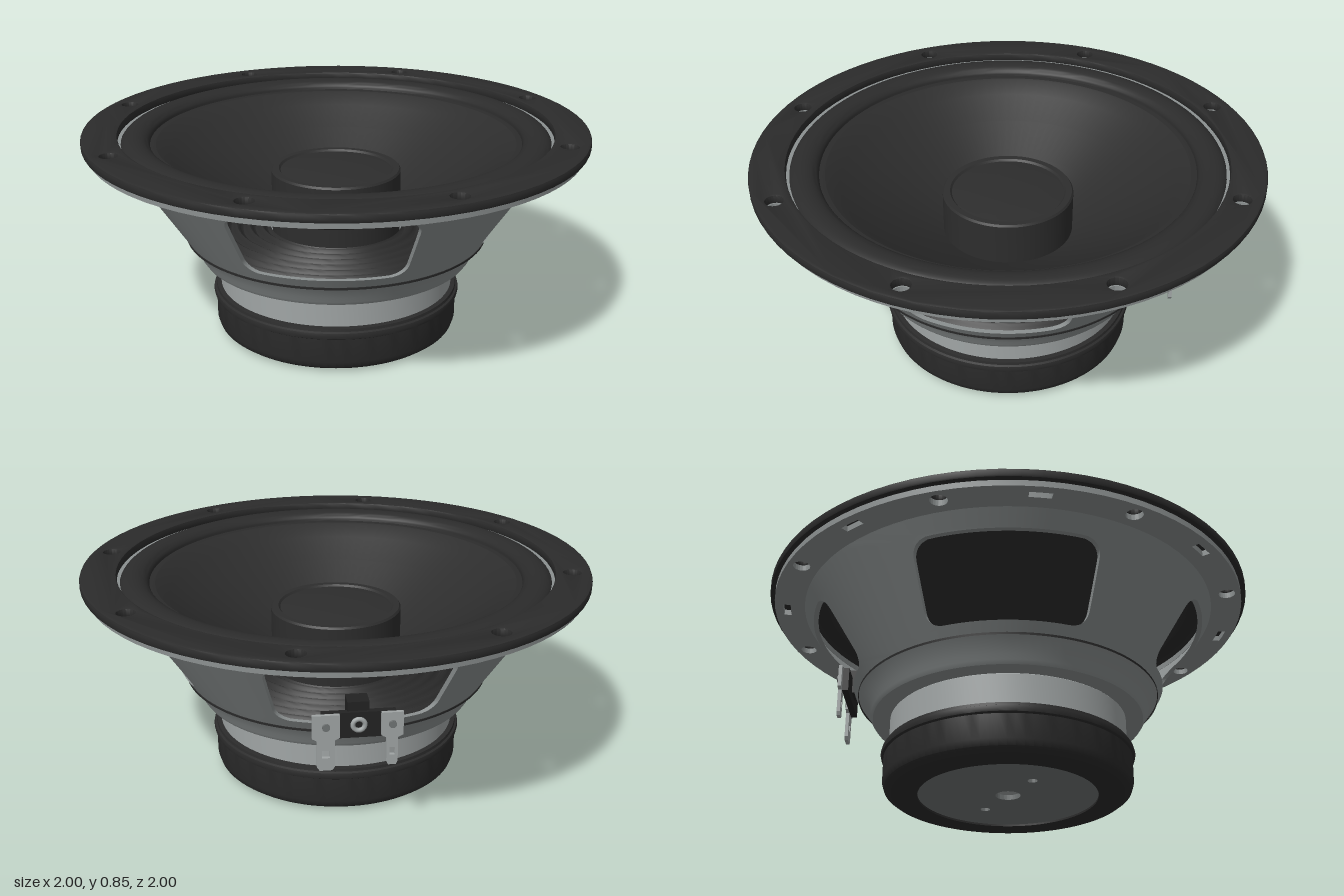
import * as THREE from 'three';
import { toCreasedNormals } from 'three/addons/utils/BufferGeometryUtils.js';

const DEG = Math.PI / 180;
const mat = (name, color, side = THREE.FrontSide) => {
  const m = new THREE.MeshStandardMaterial({ color, side });
  m.name = name;
  return m;
};

export function createModel() {
  const basketGrey = mat('basket grey', 0x8b9090, THREE.DoubleSide);
  const steel = mat('steel', 0xa0a5a5);
  const darkSteel = mat('dark steel', 0x707474);
  const rubber = mat('black rubber', 0x2b2b2b, THREE.DoubleSide);
  const paper = mat('black cone', 0x2d2d2d, THREE.DoubleSide);
  const plastic = mat('black plastic', 0x222222);

  const model = new THREE.Group();
  model.name = 'loudspeakerDriver';

  const add = (name, geo, material, parent = model) => {
    const mesh = new THREE.Mesh(geo, material);
    mesh.name = name;
    parent.add(mesh);
    return mesh;
  };
  // Profile points run outward along the bottom, up the outside, inward on top
  const lathe = (name, pts, material) =>
    add(name, toCreasedNormals(new THREE.LatheGeometry(
      pts.map(([x, y]) => new THREE.Vector2(x, y)), 96), 0.6), material);

  const circle = (r, x = 0, y = 0) => new THREE.Path().absarc(x, y, r, 0, Math.PI * 2, true);
  const disc = (r, holes) => {
    const s = new THREE.Shape().absarc(0, 0, r, 0, Math.PI * 2, false);
    s.holes.push(...holes);
    return s;
  };
  // Horizontal plate whose lower face is at height y
  const plate = (name, shape, y, depth, bevel, material) => {
    const geo = new THREE.ExtrudeGeometry(shape, {
      depth: depth - 2 * bevel, curveSegments: 40, bevelEnabled: bevel > 0,
      bevelSize: bevel, bevelThickness: bevel, bevelSegments: 2,
    });
    geo.rotateX(-Math.PI / 2).translate(0, y + bevel, 0);
    return add(name, toCreasedNormals(geo, 0.6), material);
  };
  const boltHoles = (r) => Array.from({ length: 8 }, (_, i) =>
    circle(r, 0.925 * Math.cos(i * 45 * DEG), 0.925 * Math.sin(i * 45 * DEG)));

  // Front gasket
  plate('gasket', disc(0.992, [circle(0.868), ...boltHoles(0.041)]), 0.814, 0.036, 0.008, rubber);

  // Basket flange with bolt holes and narrow slots between them
  const slots = Array.from({ length: 8 }, (_, i) => {
    const a = (22.5 + i * 45) * DEG, w = 2.6 * DEG;
    return new THREE.Path().absarc(0, 0, 0.945, a - w, a + w, false)
      .absarc(0, 0, 0.915, a + w, a - w, true).closePath();
  });
  plate('basketFlange', disc(0.98, [circle(0.835), ...boltHoles(0.033), ...slots]), 0.79, 0.024, 0, basketGrey);

  // Sloped basket wall: four sectors, each a frame round a rounded window
  add('basketWall', basketWall(), basketGrey);
  lathe('basketBase', [
    [0.28, 0.315], [0.55, 0.315], [0.56, 0.33], [0.567, 0.35], [0.612, 0.412],
    [0.59, 0.412], [0.545, 0.345], [0.28, 0.345],
  ], basketGrey);

  // Corrugated spider, its rim showing as a thin line on the basket
  const spider = [[0.614, 0.404], [0.615, 0.413], [0.58, 0.415]];
  for (let i = 0; i <= 48; i++) {
    spider.push([0.57 - i * 0.00625, 0.425 + 0.012 * Math.sin(i * Math.PI / 4)]);
  }
  lathe('spider', spider, rubber);

  // Moving parts
  lathe('voiceCoilFormer', [[0.262, 0.34], [0.262, 0.51]], paper);
  lathe('cone', [[0.25, 0.49], [0.4, 0.58], [0.55, 0.674], [0.66, 0.75], [0.715, 0.79], [0.735, 0.798]], paper);
  const roll = [[0.715, 0.798], [0.735, 0.8]];
  for (let i = 0; i <= 16; i++) {
    const a = Math.PI * (1 - i / 16);
    roll.push([0.795 + 0.058 * Math.cos(a), 0.8 + 0.037 * Math.sin(a)]);
  }
  roll.push([0.88, 0.812]);
  lathe('surround', roll, rubber);
  lathe('dustCap', [
    [0.262, 0.48], [0.262, 0.662], [0.256, 0.67], [0.232, 0.67], [0.225, 0.662],
    [0.215, 0.664], [0.12, 0.672], [0, 0.675],
  ], paper);

  // Magnet assembly
  lathe('magnetCan', [[0.47, 0.17], [0.48, 0.18], [0.48, 0.312], [0.475, 0.317], [0.2, 0.317]], steel);
  lathe('magnetBoot', [
    [0.36, 0.02], [0.36, 0], [0.45, 0], [0.474, 0.006], [0.492, 0.02], [0.5, 0.045], [0.5, 0.143],
    [0.508, 0.148], [0.511, 0.16], [0.508, 0.172], [0.5, 0.176], [0.498, 0.187], [0.475, 0.19],
  ], rubber);
  plate('backPlate', disc(0.362, [circle(0.05), circle(0.02, 0.19), circle(0.02, -0.19)]), 0.008, 0.02, 0, darkSteel);
  plate('polePiece', disc(0.3, []), 0.028, 0.1, 0, steel);

  // Terminal block outside one window
  const terminals = new THREE.Group();
  terminals.name = 'terminals';
  terminals.rotation.y = 150 * DEG;
  model.add(terminals);
  const box = (name, w, h, d, x, y, z, material) =>
    add(name, new THREE.BoxGeometry(w, h, d).translate(x, y, z), material, terminals);
  box('terminalBoard', 0.27, 0.1, 0.025, 0, 0.46, 0.655, plastic);
  box('terminalBracket', 0.08, 0.1, 0.07, 0, 0.495, 0.62, plastic);

  const tab = (x, head, tongue, bottom) => {
    const h = head / 2, t = tongue / 2;
    const s = new THREE.Shape([
      [-t, bottom + 0.015], [-t * 0.7, bottom], [t * 0.7, bottom], [t, bottom + 0.015],
      [t, 0.41], [h, 0.42], [h, 0.51], [-h, 0.51], [-h, 0.42], [-t, 0.41],
    ].map(([a, b]) => new THREE.Vector2(a, b)));
    const q = t * 0.45;
    s.holes.push(new THREE.Path([[-q, 0.34], [-q, 0.37], [q, 0.37], [q, 0.34]]
      .map(([a, b]) => new THREE.Vector2(a, b))));
    const geo = new THREE.ExtrudeGeometry(s, { depth: 0.014, bevelEnabled: false });
    add('terminalTab', geo.translate(x, 0, 0.668), steel, terminals);
    add('tabRivet', new THREE.CylinderGeometry(0.014, 0.014, 0.012, 16)
      .rotateX(Math.PI / 2).translate(x, 0.465, 0.685), darkSteel, terminals);
  };
  tab(-0.12, 0.1, 0.066, 0.29);
  tab(0.12, 0.08, 0.042, 0.3);
  add('eyelet', new THREE.TorusGeometry(0.022, 0.009, 10, 24).translate(0, 0.462, 0.67), steel, terminals);

  return model;
}

function basketWall() {
  const N = 24, STEPS = 8, THICK = 0.02;
  const A = 0.33, B = 0.163, R = 0.065; // window half sizes and corner radius
  const clamp = THREE.MathUtils.clamp;
  const pos = [], index = [];

  // Unit square perimeter, counter-clockwise
  const ring = [];
  for (let i = 0; i < N; i++) ring.push([-1 + 2 * i / N, -1]);
  for (let i = 0; i < N; i++) ring.push([1, -1 + 2 * i / N]);
  for (let i = 0; i < N; i++) ring.push([1 - 2 * i / N, 1]);
  for (let i = 0; i < N; i++) ring.push([-1, 1 - 2 * i / N]);

  // Outside from sector edge to window, then back along the inside
  const section = [];
  for (let j = 0; j <= STEPS; j++) section.push([j / STEPS, 0]);
  for (let j = STEPS; j >= 0; j--) section.push([j / STEPS, THICK]);

  for (let k = 0; k < 4; k++) {
    const base = pos.length / 3, centre = 60 + 90 * k;
    for (const [sx, sy] of ring) {
      // Round the window corners
      const qx = sx * A, qy = sy * B;
      const cx = clamp(qx, R - A, A - R), cy = clamp(qy, R - B, B - R);
      const len = Math.hypot(qx - cx, qy - cy);
      const wx = cx + R * (qx - cx) / len, wy = cy + R * (qy - cy) / len;
      const winV = 0.465 + wy / 0.455;
      const winAngle = wx / A * (27.5 - 2.5 * winV);
      for (const [t, inset] of section) {
        const v = THREE.MathUtils.lerp((sy + 1) / 2, winV, t);
        const a = (centre + THREE.MathUtils.lerp(sx * 45, winAngle, t)) * Math.PI / 180;
        const r = 0.61 + 0.25 * v - inset;
        pos.push(r * Math.sin(a), 0.41 + 0.385 * v, r * Math.cos(a));
      }
    }
    const M = section.length, P = ring.length;
    for (let i = 0; i < P; i++) {
      for (let j = 0; j < M - 1; j++) {
        const a = base + i * M + j, b = base + ((i + 1) % P) * M + j;
        index.push(a, b, a + 1, b, b + 1, a + 1);
      }
    }
  }
  const geo = new THREE.BufferGeometry();
  geo.setAttribute('position', new THREE.Float32BufferAttribute(pos, 3));
  geo.setIndex(index);
  return toCreasedNormals(geo, 0.6);
}
